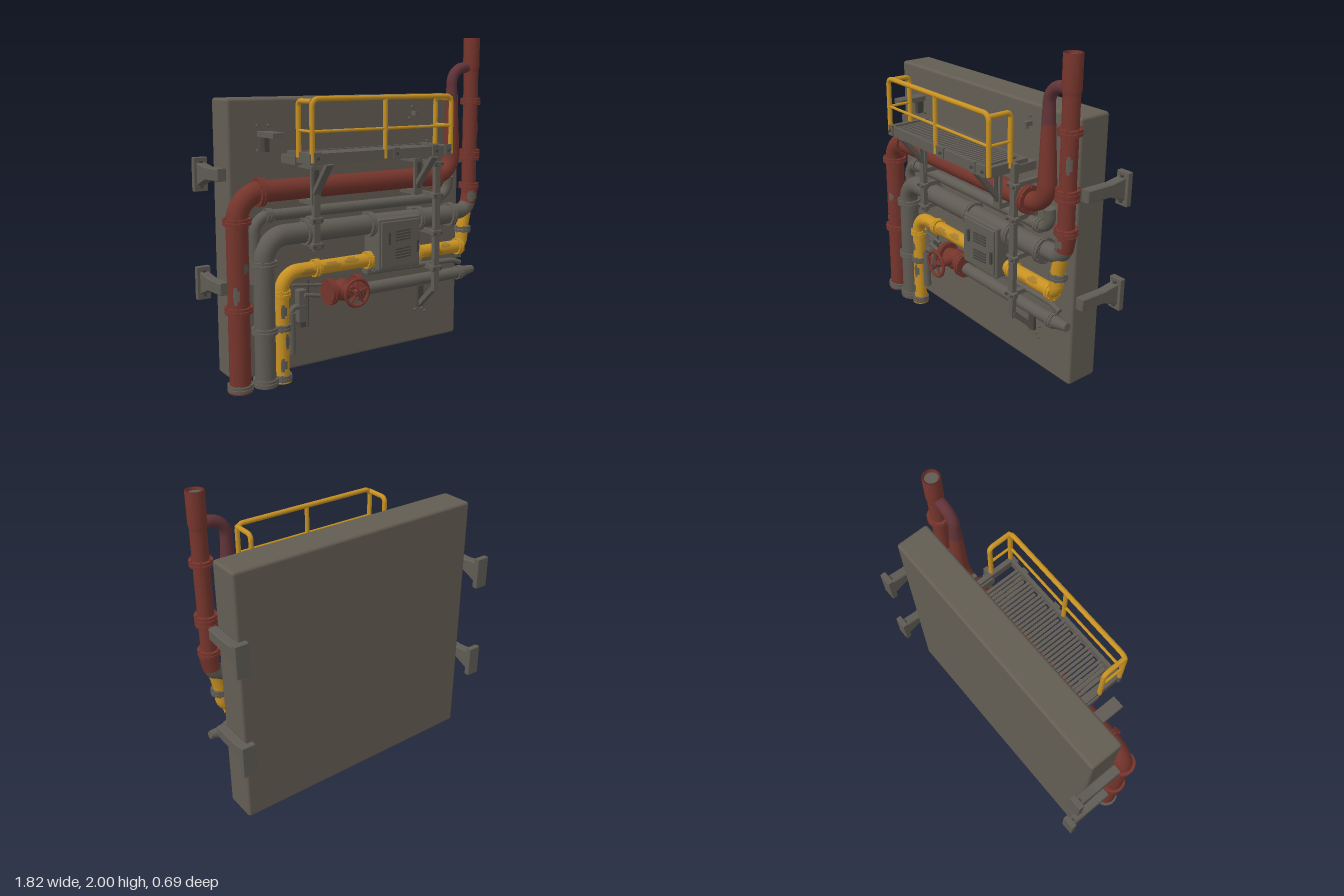
import * as THREE from 'three';
import { RoundedBoxGeometry } from 'three/addons/geometries/RoundedBoxGeometry.js';

const mat = (name, color) => Object.assign(new THREE.MeshStandardMaterial({ color }), { name });
const V = (x, y, z) => new THREE.Vector3(x, y, z);
const UP = V(0, 1, 0);

export function createModel() {
  const root = new THREE.Group();
  root.name = 'pipeWall';
  const wallGrey = mat('wallGrey', 0x635d53);
  const steel = mat('steelGrey', 0x5f5b54);
  const dark = mat('darkSteel', 0x45433f);
  const red = mat('oxideRed', 0x75352c);
  const plum = mat('plumRed', 0x603338);
  const yellow = mat('safetyYellow', 0xc79122);
  const ochre = mat('wornYellow', 0xa67c2c);

  const add = (name, geo, m, parent = root) => {
    const mesh = new THREE.Mesh(geo, m);
    mesh.name = name;
    parent.add(mesh);
    return mesh;
  };
  const group = (name) => {
    const g = new THREE.Group();
    g.name = name;
    root.add(g);
    return g;
  };
  const box = (name, x, y, z, w, h, d, m, parent, r = 0) => {
    const mesh = add(name, r ? new RoundedBoxGeometry(w, h, d, 2, r) : new THREE.BoxGeometry(w, h, d), m, parent);
    mesh.position.set(x, y, z);
    return mesh;
  };
  // Round bar between two points, optionally tapered
  const bar = (name, a, b, r, m, parent, r2 = r, sides = 20) => {
    const mesh = add(name, new THREE.CylinderGeometry(r2, r, a.distanceTo(b), sides), m, parent);
    mesh.position.copy(a).lerp(b, 0.5);
    mesh.quaternion.setFromUnitVectors(UP, b.clone().sub(a).normalize());
    return mesh;
  };
  // Square beam between two points in the yz plane
  const strut = (name, x, y1, z1, y2, z2, w, t, m, parent) => {
    const mesh = box(name, x, (y1 + y2) / 2, (z1 + z2) / 2, w, Math.hypot(y2 - y1, z2 - z1), t, m, parent);
    mesh.rotation.x = Math.atan2(z2 - z1, y2 - y1);
  };
  // Pipe with straight runs and rounded elbows
  const pipe = (name, pts, r, bend, m, parent = group(name), sides = 20) => {
    let from = pts[0];
    for (let i = 1; i < pts.length; i++) {
      const p = pts[i], next = pts[i + 1];
      if (!next) { bar(name + 'Run', from, p, r, m, parent, r, sides); break; }
      const a = p.clone().add(pts[i - 1].clone().sub(p).setLength(bend));
      const b = p.clone().add(next.clone().sub(p).setLength(bend));
      if (from.distanceTo(a) > 0.002) bar(name + 'Run', from, a, r, m, parent, r, sides);
      const arc = new THREE.CubicBezierCurve3(a, a.clone().lerp(p, 0.55), b.clone().lerp(p, 0.55), b);
      add(name + 'Elbow', new THREE.TubeGeometry(arc, 12, r, sides), m, parent);
      from = b;
    }
  };
  // Pair of bolted discs; axis is 'x' or 'y'
  const flange = (x, y, z, axis, r, m) => {
    const g = group('flange');
    for (const s of [-1, 1]) add('flangeDisc', new THREE.CylinderGeometry(r, r, 0.015, 24), m, g).position.y = s * 0.0095;
    for (let i = 0; i < 6; i++) {
      const t = (i + 0.5) * Math.PI / 3;
      const bolt = add('flangeBolt', new THREE.CylinderGeometry(0.006, 0.006, 0.046, 6), m, g);
      bolt.position.set(Math.sin(t) * r * 0.88, 0, Math.cos(t) * r * 0.88);
    }
    g.position.set(x, y, z);
    if (axis === 'x') g.rotation.z = Math.PI / 2;
  };
  // Worn paint skin wrapped round a pipe: tapering steps give a ragged edge
  const patch = (x, y, z, axis, r, len, start, sweep, m) => {
    const g = group('wornPaint');
    for (const [k, w, o] of [[1, 0.5, 0.1], [0.6, 1, 0]]) {
      add('paintPatch', new THREE.CylinderGeometry(r + 0.002, r + 0.002, len * k, 8, 1, true, start + o * sweep, sweep * w), m, g);
    }
    g.position.set(x, y, z);
    if (axis === 'x') g.rotation.z = Math.PI / 2;
  };
  const Z = 0.083;

  // Wall slab and its rear side brackets
  box('wallSlab', 0, 0.833, -0.115, 1.66, 1.625, 0.21, wallGrey, root, 0.018);
  const flare = new THREE.Shape([[0.03, 0.035], [0.2, 0.03], [0.32, 0.045], [0.32, -0.085], [0.2, -0.035], [0.03, -0.025]].map(p => new THREE.Vector2(...p)));
  for (const s of [-1, 1]) for (const y of [1.22, 0.57]) {
    const g = group('sideBracket');
    const arm = add('bracketArm', new THREE.ExtrudeGeometry(flare, { depth: 0.045, bevelEnabled: true, bevelSize: 0.006, bevelThickness: 0.006, bevelSegments: 1 }), steel, g);
    arm.rotation.y = Math.PI / 2;
    arm.position.set(s * 0.864 - 0.0225, y, 0);
    box('bracketPlate', s * 0.868, y - 0.02, -0.325, 0.085, 0.2, 0.036, steel, g, 0.004);
    for (const dy of [-0.09, 0.05]) box('bracketBolt', s * 0.868, y + dy, -0.305, 0.02, 0.02, 0.02, dark, g);
  }

  // Large red pipe, reducer and tall stack
  pipe('redMainPipe', [V(-0.83, 0.02, Z), V(-0.83, 1.132, Z), V(0.55, 1.132, Z)], 0.062, 0.15, red);
  pipe('redRiserBend', [V(0.55, 1.132, Z), V(0.69, 1.132, Z), V(0.69, 1.27, Z)], 0.054, 0.13, red);
  bar('redReducer', V(0.69, 1.265, Z), V(0.686, 1.6, Z), 0.054, red, root, 0.039);
  bar('plumReducer', V(0.686, 1.6, Z), V(0.685, 1.7, Z), 0.039, plum, root, 0.034);
  pipe('plumCrossover', [V(0.685, 1.695, Z), V(0.685, 1.815, Z), V(0.84, 1.815, Z)], 0.034, 0.1, plum);
  bar('redStack', V(0.845, 1.0, Z), V(0.845, 1.82, Z), 0.047, red);
  const top = [[0.047, 1.79], [0.052, 1.82], [0.052, 2], [0.04, 2], [0.04, 1.95]];
  add('stackTop', new THREE.LatheGeometry(top.map(p => new THREE.Vector2(...p)), 24), red).position.set(0.845, 0, Z);
  bar('stackPlug', V(0.845, 1.9, Z), V(0.845, 1.985, Z), 0.041, steel);
  for (const y of [0.98, 0.48]) flange(-0.83, y, Z, 'y', 0.08, red);
  for (const x of [-0.69, 0.55]) flange(x, 1.132, Z, 'x', 0.083, red);
  for (const y of [1.6, 1.27, 1.24, 1.05]) flange(0.845, y, Z, 'y', 0.066, red);

  // Large grey pipe, joining the stack on the right
  pipe('greyMainPipe', [V(-0.67, 0.02, Z), V(-0.67, 0.872, Z), V(0.7, 0.872, Z)], 0.061, 0.14, steel);
  pipe('greyStackElbow', [V(0.68, 0.885, Z), V(0.825, 0.885, Z), V(0.842, 0.955, Z)], 0.05, 0.06, steel);
  bar('redStackFoot', V(0.838, 0.935, Z), V(0.858, 1.035, Z), 0.051, red);
  patch(0.848, 0.985, Z, 'y', 0.054, 0.07, -0.9, 1.3, steel);
  for (const y of [0.72, 0.33]) flange(-0.67, y, Z, 'y', 0.077, steel);
  for (const x of [-0.39, 0.05, 0.42, 0.68]) flange(x, 0.872, Z, 'x', 0.077, steel);

  // Thin grey pipe behind
  pipe('greyThinPipe', [V(-0.705, 0.6, 0.045), V(-0.705, 0.985, 0.045), V(0.69, 0.985, 0.045), V(0.69, 1.12, 0.06)], 0.033, 0.09, steel);
  for (const x of [-0.62, 0.6]) flange(x, 0.985, 0.045, 'x', 0.043, steel);

  // Yellow pipe with right-hand rise
  pipe('yellowPipe', [V(-0.56, 0.02, Z), V(-0.56, 0.65, Z), V(0.75, 0.65, Z)], 0.042, 0.11, yellow);
  pipe('yellowRise', [V(0.72, 0.65, Z), V(0.79, 0.65, Z), V(0.79, 0.76, Z), V(0.825, 0.92, Z)], 0.041, 0.06, yellow);
  flange(-0.56, 0.33, Z, 'y', 0.055, steel);
  flange(0.8, 0.765, Z, 'y', 0.054, steel);
  flange(-0.56, 0.53, Z, 'y', 0.054, yellow);
  for (const x of [-0.33, 0.04, 0.42, 0.76]) flange(x, 0.65, Z, 'x', 0.054, yellow);

  // Floor collars in grey, over painted pipe ends
  for (const [x, r, m] of [[-0.83, 0.075, red], [-0.67, 0.075, steel], [-0.56, 0.056, yellow]]) {
    flange(x, 0.027, Z, 'y', r, steel);
    bar('pipeEnd', V(x, 0, Z), V(x, 0.012, Z), r * 0.95, m);
  }

  // Worn paint
  for (const [x, l, t] of [[-0.4, 0.1, -0.6], [-0.24, 0.12, -0.1], [-0.1, 0.1, 0.2], [0.55, 0.1, -0.7], [0.63, 0.08, 0.3]]) patch(x, 0.65, Z, 'x', 0.042, l, t, 0.9, ochre);
  for (const [y, l, t] of [[0.43, 0.08, -0.6], [0.25, 0.09, 0], [0.11, 0.08, -0.7]]) patch(-0.56, y, Z, 'y', 0.042, l, t, 0.9, steel);
  for (const [y, l, t] of [[0.72, 0.06, 0.1], [0.57, 0.1, -0.9]]) patch(-0.83, y, Z, 'y', 0.062, l, t, 0.6, steel);
  patch(0.845, 1.43, Z, 'y', 0.047, 0.1, 0.5, 0.7, steel);
  patch(0.36, 1.132, Z, 'x', 0.062, 0.12, -2.3, 0.6, ochre);

  // Lower grey pipe and red valve
  bar('lowerPipe', V(-0.03, 0.47, Z), V(0.78, 0.47, Z), 0.038, steel);
  bar('lowerPipeEnd', V(0.78, 0.47, Z), V(0.89, 0.48, Z), 0.04, steel, root, 0.024);
  flange(0.77, 0.47, Z, 'x', 0.046, steel);
  pipe('smallReturnPipe', [V(0.05, 0.565, 0.06), V(0.74, 0.555, 0.06), V(0.8, 0.53, 0.06)], 0.017, 0.04, steel);
  bar('valveBody', V(-0.23, 0.49, Z), V(-0.04, 0.49, Z), 0.05, red);
  add('valveBulb', new THREE.SphereGeometry(0.068, 20, 14), red).position.set(-0.14, 0.49, Z);
  for (const x of [-0.235, -0.04]) flange(x, 0.49, Z, 'x', 0.08, red);
  bar('valveBonnet', V(-0.14, 0.5, 0.1), V(-0.14, 0.5, 0.19), 0.042, red, root, 0.03);
  bar('valveStem', V(-0.14, 0.5, 0.18), V(-0.14, 0.5, 0.262), 0.011, dark);
  const wheel = group('handwheel');
  wheel.position.set(-0.14, 0.505, 0.238);
  add('wheelRim', new THREE.TorusGeometry(0.08, 0.01, 10, 32), red, wheel);
  for (let i = 0; i < 5; i++) {
    const t = i * Math.PI * 0.4 + 0.3;
    bar('wheelSpoke', V(0, 0, 0), V(Math.cos(t) * 0.08, Math.sin(t) * 0.08, 0), 0.008, red, wheel, 0.007, 8);
  }
  bar('wheelHub', V(0, 0, -0.016), V(0, 0, 0.016), 0.02, red, wheel);

  // Small lever valve and drain beside the yellow pipe
  bar('drainPipe', V(-0.49, 0.15, 0.07), V(-0.49, 0.4, 0.07), 0.025, steel);
  pipe('drainNeck', [V(-0.49, 0.39, 0.07), V(-0.49, 0.43, 0.07), V(-0.4, 0.43, 0.07)], 0.017, 0.03, steel);
  box('leverClamp', -0.42, 0.43, 0.06, 0.055, 0.2, 0.05, steel, root, 0.008);
  box('leverClampFoot', -0.42, 0.32, 0.04, 0.035, 0.03, 0.1, dark);
  bar('leverHandle', V(-0.49, 0.57, 0.09), V(-0.3, 0.545, 0.09), 0.009, steel);
  bar('leverArm', V(-0.41, 0.5, 0.09), V(-0.31, 0.48, 0.09), 0.012, steel);
  bar('leverRod', V(-0.37, 0.29, 0.06), V(-0.37, 0.58, 0.06), 0.005, dark);

  // Control cabinet with louvres
  const cab = group('controlCabinet');
  box('cabinetBody', 0.22, 0.75, 0.09, 0.315, 0.32, 0.16, steel, cab, 0.01);
  box('cabinetDoor', 0.22, 0.75, 0.173, 0.285, 0.285, 0.016, steel, cab, 0.005);
  for (const y0 of [0.775, 0.665]) for (let i = 0; i < 4; i++) {
    box('louvre', 0.235, y0 + i * 0.018, 0.184, 0.115, 0.009, 0.008, dark, cab).rotation.z = 0.06;
  }
  for (const x of [0.13, 0.345]) box('doorSlot', x, x < 0.2 ? 0.79 : 0.72, 0.185, 0.016, 0.075, 0.014, dark, cab);
  for (const x of [0.05, 0.39]) for (const y of [0.575, 0.925]) box('cabinetLug', x, y, 0.06, 0.035, 0.035, 0.06, steel, cab, 0.005);

  // Platform with slatted floor
  const deck = group('platform');
  box('frontBeam', -0.005, 1.32, 0.315, 0.99, 0.06, 0.022, steel, deck);
  box('rearBeam', -0.005, 1.32, 0.05, 0.93, 0.045, 0.02, steel, deck);
  for (const s of [-1, 1]) {
    box('endBeam', s * 0.475, 1.32, 0.185, 0.03, 0.06, 0.28, steel, deck);
    box('wallArm', s * 0.475, 1.3, 0.07, 0.05, 0.05, 0.17, steel, deck);
  }
  for (let i = 0; i < 33; i++) {
    const d = 0.25 - (i * 7 % 4) * 0.008;
    box('floorSlat', -0.45 + i * 0.0265, 1.33, 0.055 + d / 2, 0.018, 0.016, d, steel, deck);
  }
  for (const x of [-0.46, 0.07, 0.36, 0.455]) {
    box('beamCleat', x, 1.325, 0.328, 0.045, 0.065, 0.014, steel, deck);
    bar('cleatBolt', V(x, 1.325, 0.33), V(x, 1.325, 0.345), 0.01, dark, deck, 0.01, 6);
  }
  for (const x of [-0.37, 0.365]) {
    strut('kneeBrace', x, 1.29, 0.31, 1.1, 0.155, 0.045, 0.025, steel, deck);
    box('braceFoot', x, 1.15, 0.156, 0.06, 0.22, 0.018, steel, deck);
    box('braceSlot', x, 1.16, 0.167, 0.03, 0.16, 0.006, dark, deck);
    for (const y of [1.05, 1.255]) box('braceTie', x, y, 0.075, 0.035, 0.03, 0.16, steel, deck);
  }

  // Yellow guard rail
  const rail = group('guardRail');
  const [rx, fz, bz] = [0.485, 0.318, 0.17];
  pipe('frontRail', [V(-rx, 1.3, fz), V(-rx, 1.646, fz), V(rx, 1.646, fz), V(rx, 1.3, fz)], 0.015, 0.04, yellow, rail, 10);
  bar('middlePost', V(0, 1.3, fz), V(0, 1.646, fz), 0.014, yellow, rail, 0.014, 10);
  bar('midRail', V(-rx, 1.47, fz), V(rx, 1.47, fz), 0.009, yellow, rail, 0.009, 8);
  for (const s of [-1, 1]) {
    pipe('sideRail', [V(s * rx, 1.632, fz), V(s * rx, 1.632, bz), V(s * rx, 1.32, bz)], 0.015, 0.03, yellow, rail, 10);
    bar('sideMidRail', V(s * rx, 1.47, fz), V(s * rx, 1.47, bz), 0.009, yellow, rail, 0.009, 8);
  }

  // Upright pipe supports
  for (const [x, y1, y2, ties] of [[0.51, 0.4, 1.35, [0.55, 0.78, 1.02, 1.22]], [-0.37, 0.77, 1.1, [0.8, 0.95]]]) {
    const g = group('pipeSupport');
    box('supportPost', x, (y1 + y2) / 2, 0.16, 0.04, y2 - y1, 0.03, steel, g);
    for (const y of ties) {
      box('supportTie', x, y, 0.07, 0.028, 0.028, 0.18, steel, g);
      box('supportClamp', x, y, 0.163, 0.075, 0.035, 0.036, steel, g, 0.005);
      for (const s of [-1, 1]) bar('clampBolt', V(x + s * 0.025, y, 0.17), V(x + s * 0.025, y, 0.19), 0.008, dark, g, 0.008, 6);
    }
  }
  strut('lowerBrace', 0.515, 0.43, 0.16, 0.27, -0.005, 0.035, 0.03, steel);
  box('lowerBracePlate', 0.515, 0.33, 0.002, 0.045, 0.14, 0.02, dark);

  // Loose wall brackets and anchor bolts
  box('wallBracketArm', -0.612, 1.445, 0.085, 0.075, 0.03, 0.19, steel);
  box('wallBracketStem', -0.612, 1.4, 0.015, 0.03, 0.11, 0.045, dark);
  box('smallBracket', 0.445, 1.53, 0.01, 0.025, 0.025, 0.05, steel);
  const anchors = [[-0.65, 1.49], [-0.58, 1.49], [-0.65, 1.35], [-0.58, 1.35], [0.44, 1.57], [0.42, 1.5], [0.56, 1.35], [0.54, 1.31], [0.57, 1.22], [0.48, 0.24], [0.54, 0.24], [0.57, 0.3], [0.56, 0.22]];
  for (const [x, y] of anchors) bar('anchorBolt', V(x, y, -0.015), V(x, y, 0.006), 0.011, steel, root, 0.009, 6);

  return root;
}
